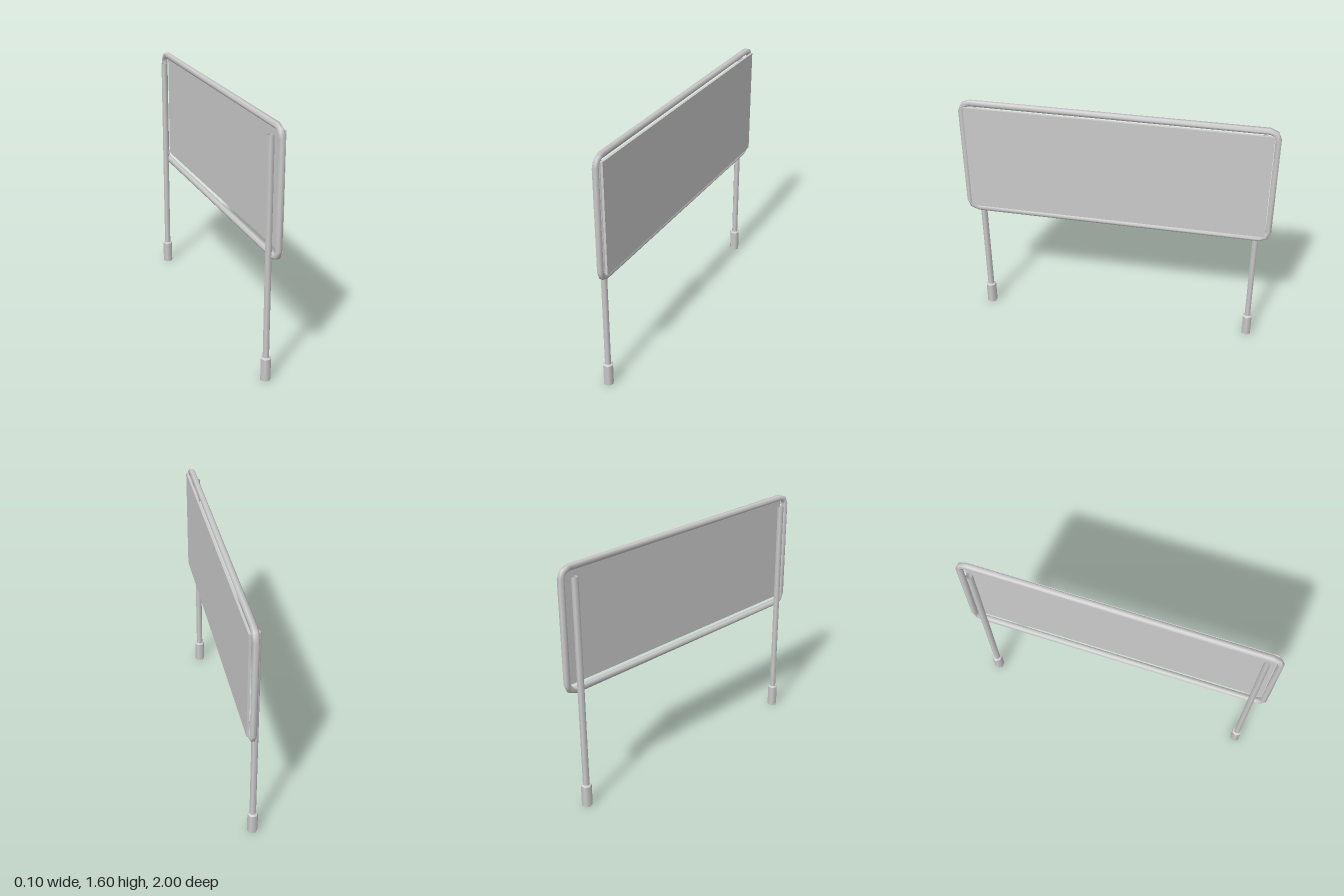
import * as THREE from 'three';

const material = new THREE.MeshStandardMaterial({ color: 0xcccccc, side: THREE.DoubleSide });

function add(parent, name, geometry, x, y, z) {
  const mesh = new THREE.Mesh(geometry, material);
  mesh.name = name;
  mesh.position.set(x, y, z);
  parent.add(mesh);
  return mesh;
}

// Six-sided tube swept round a rounded rectangle in the y-z plane
function frameGeometry(halfZ, halfY, corner, radius) {
  const sides = 6, steps = 2, positions = [], index = [];
  for (let c = 0; c < 4; c++) {
    const cz = (c === 0 || c === 3 ? 1 : -1) * (halfZ - corner);
    const cy = (c < 2 ? 1 : -1) * (halfY - corner);
    for (let s = 0; s <= steps; s++) {
      const a = (c + s / steps) * Math.PI / 2;
      for (let k = 0; k < sides; k++) {
        const t = k / sides * Math.PI * 2;
        const r = corner + radius * Math.sin(t);
        positions.push(radius * Math.cos(t), cy + r * Math.sin(a), cz + r * Math.cos(a));
      }
    }
  }
  const rings = 4 * (steps + 1);
  for (let i = 0; i < rings; i++) {
    for (let k = 0; k < sides; k++) {
      const a = i * sides + k, b = i * sides + (k + 1) % sides;
      const n = ((i + 1) % rings) * sides;
      const c = n + k, d = n + (k + 1) % sides;
      index.push(a, b, c, b, d, c);
    }
  }
  const geometry = new THREE.BufferGeometry();
  geometry.setAttribute('position', new THREE.Float32BufferAttribute(positions, 3));
  geometry.setIndex(index);
  geometry.computeVertexNormals();
  return geometry;
}

// Open hexagonal pipe with corners pointing along x
function pipe(topRadius, bottomRadius, height) {
  return new THREE.CylinderGeometry(topRadius, bottomRadius, height, 6, 1, true).rotateY(Math.PI / 2);
}

export function createModel() {
  const group = new THREE.Group();
  group.name = 'signBoard';

  // Board and its surrounding tube
  add(group, 'panel', new THREE.BoxGeometry(0.015, 0.718, 1.922), 0.039, 1.202, 0);
  add(group, 'frame', frameGeometry(0.982, 0.385, 0.055, 0.021), 0.012, 1.197, 0);

  // Two posts standing in sockets
  for (const [side, z] of [['left', 0.905], ['right', -0.905]]) {
    const leg = new THREE.Group();
    leg.name = side + 'Leg';
    leg.position.set(-0.017, 0, z);
    add(leg, 'post', pipe(0.021, 0.021, 1.38), 0, 0.84, 0);
    add(leg, 'socket', pipe(0.034, 0.034, 0.144), 0, 0.072, 0);
    add(leg, 'socketRim', pipe(0.021, 0.034, 0.008), 0, 0.148, 0);
    group.add(leg);
  }
  return group;
}
